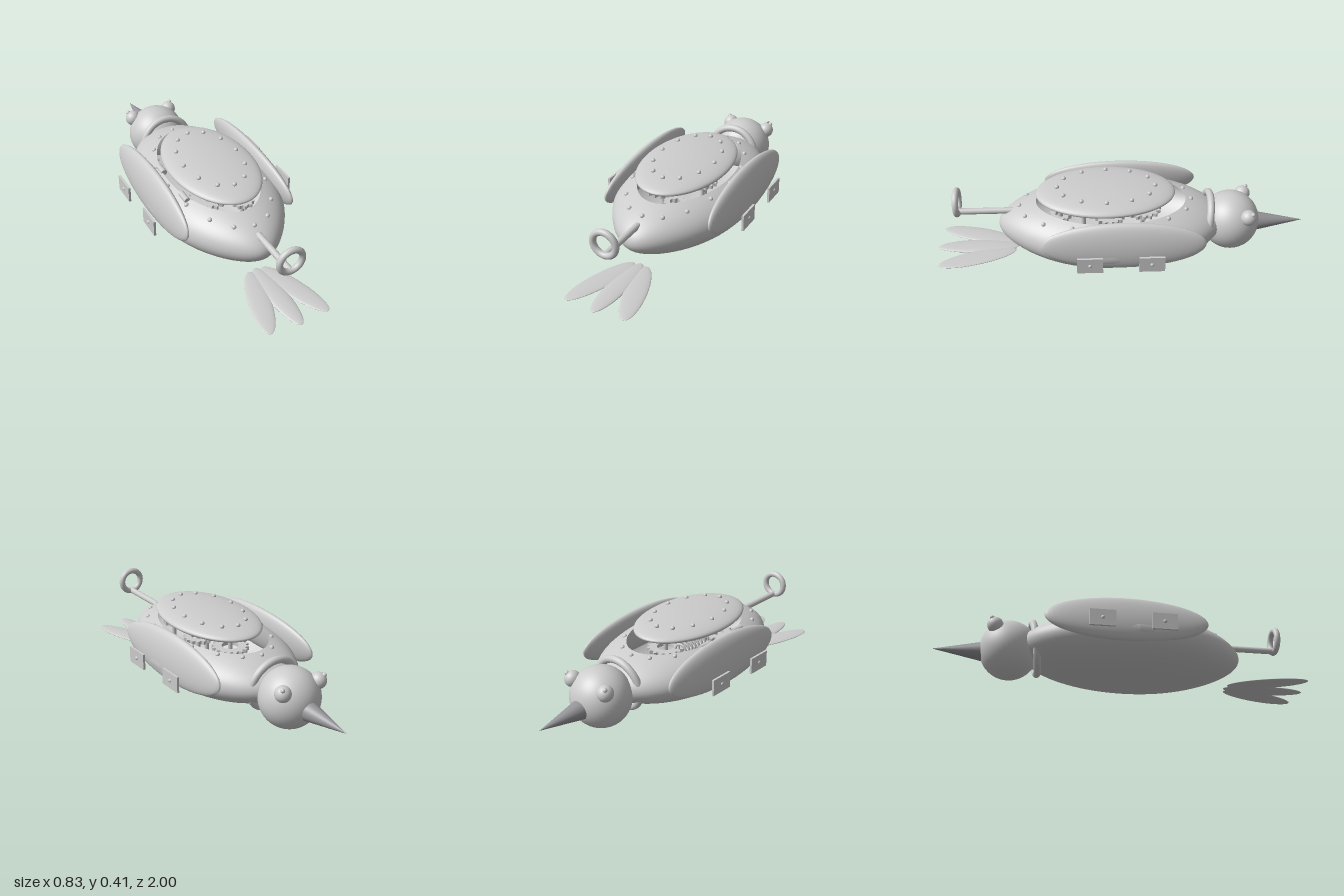
import * as THREE from 'three';

const metal = new THREE.MeshStandardMaterial({ color: 0xcccccc });
metal.name = 'pale metal';
const shellMetal = metal;
shellMetal.side = THREE.DoubleSide; // the body is an open shell
const beakMetal = new THREE.MeshStandardMaterial({ color: 0x96969a });
beakMetal.name = 'dark metal';

export function createModel() {
  const root = new THREE.Group();
  root.name = 'clockworkBird';

  const add = (name, geo, pos, mat = metal, parent = root) => {
    const m = new THREE.Mesh(geo, mat);
    m.name = name;
    m.position.set(...pos);
    parent.add(m);
    return m;
  };
  const ellipsoid = (rx, ry, rz, w = 40, h = 28) =>
    new THREE.SphereGeometry(1, w, h).scale(rx, ry, rz);

  // Body: egg-shaped shell, open at the top and narrowed toward the tail
  const C = { y: 0.18, z: 0.05 }, R = { x: 0.35, y: 0.18, z: 0.605 };
  const taper = (t) => 1 - 0.3 * Math.max(0, t) ** 3;
  const body = new THREE.SphereGeometry(1, 64, 40, 0, Math.PI * 2, Math.acos(0.75), Math.PI - Math.acos(0.75));
  const p = body.attributes.position;
  for (let i = 0; i < p.count; i++) {
    const t = p.getZ(i);
    p.setXYZ(i, p.getX(i) * R.x * taper(t), p.getY(i) * R.y, t * R.z);
  }
  body.computeVertexNormals();
  add('body', body, [0, C.y, C.z], shellMetal);

  // Rivets around the opening, seated on the shell
  const rivet = new THREE.SphereGeometry(0.012, 14, 10);
  for (let i = 0; i < 16; i++) {
    const a = (i / 16) * Math.PI * 2;
    const x = 0.25 * Math.sin(a), z = 0.08 - 0.46 * Math.cos(a);
    const t = (z - C.z) / R.z;
    const s = x / (R.x * taper(t));
    const y = C.y + R.y * Math.sqrt(Math.max(0, 1 - s * s - t * t));
    add('bodyRivet', rivet, [x, y, z]);
  }

  // Raised back cover with its own rivets and two hinges
  add('backCover', ellipsoid(0.23, 0.047, 0.37, 56), [0, 0.363, 0.078]);
  for (let i = 0; i < 12; i++) {
    const a = (i / 12) * Math.PI * 2;
    add('coverRivet', rivet, [0.155 * Math.sin(a), 0.4, 0.075 - 0.26 * Math.cos(a)]);
  }
  for (const z of [-0.06, 0.21])
    add('hinge', new THREE.CylinderGeometry(0.016, 0.016, 0.07, 20).rotateX(Math.PI / 2), [-0.22, 0.312, z]);

  // Clockwork inside the opening
  const gearGeometry = (r, teeth) => {
    const s = new THREE.Shape();
    for (let i = 0; i < teeth * 4; i++) {
      const a = (i / (teeth * 4)) * Math.PI * 2;
      const q = i % 4 < 2 ? r : r * 0.84;
      s[i ? 'lineTo' : 'moveTo'](q * Math.cos(a), q * Math.sin(a));
    }
    s.closePath();
    s.holes.push(new THREE.Path().absarc(0, 0, r * 0.45, 0, Math.PI * 2, true));
    return new THREE.ExtrudeGeometry(s, { depth: 0.02, bevelEnabled: false, curveSegments: 20 }).rotateX(-Math.PI / 2);
  };
  for (const [x, y, z, r, n] of [
    [0, 0.24, -0.12, 0.1, 16], [0.08, 0.25, 0.06, 0.08, 14], [-0.08, 0.24, 0.2, 0.1, 16], [0.06, 0.25, 0.32, 0.06, 10],
  ]) {
    add('gear', gearGeometry(r, n), [x, y, z]);
    add('gearAxle', new THREE.CylinderGeometry(0.012, 0.012, 0.24, 14), [x, 0.17, z]);
  }
  const coil = Array.from({ length: 97 }, (_, i) => {
    const a = (i / 12) * Math.PI * 2;
    return new THREE.Vector3(-0.1 + 0.03 * Math.cos(a), 0.27 + 0.03 * Math.sin(a), -0.12 + 0.0022 * i);
  });
  add('spring', new THREE.TubeGeometry(new THREE.CatmullRomCurve3(coil), 160, 0.006, 7), [0, 0, 0]);

  // Head, neck ring and beak
  add('head', ellipsoid(0.16, 0.16, 0.157), [0, 0.163, -0.6]);
  add('neckRing', new THREE.TorusGeometry(0.137, 0.02, 16, 56), [0, 0.182, -0.465]).rotation.x = -0.14;
  add('beak', new THREE.ConeGeometry(0.052, 0.26, 32).rotateX(-Math.PI / 2), [0, 0.147, -0.87], beakMetal);

  for (const s of [1, -1]) {
    // Eyes with small pupils
    add('eye', ellipsoid(0.042, 0.043, 0.043, 24, 18), [s * 0.115, 0.252, -0.678]);
    add('pupil', new THREE.SphereGeometry(0.012, 14, 10), [s * 0.134, 0.284, -0.697]);

    // Leaning wing
    add('wing', ellipsoid(0.043, 0.13, 0.425, 40, 32), [s * 0.303, 0.238, -0.008]).rotation.z = s * 0.14;

    // Square side plates with central knobs
    for (const z of [0.168, -0.147]) {
      add('sidePlate', new THREE.BoxGeometry(0.012, 0.088, 0.132), [s * 0.4, 0.19, z]);
      add('plateKnob', new THREE.SphereGeometry(0.011, 14, 10), [s * 0.402, 0.19, z]);
    }

    // Outer tail feather
    add('outerTailFeather', ellipsoid(0.058, 0.01, 0.215), [s * 0.1, 0.015, 0.778]).rotation.y = s * 0.3;
  }
  add('middleTailFeather', ellipsoid(0.055, 0.012, 0.22), [0, 0.014, 0.78]);

  // Wind-up key
  add('keyShaft', new THREE.CylinderGeometry(0.017, 0.017, 0.29, 20).rotateX(Math.PI / 2), [0, 0.255, 0.725]);
  add('keyRing', new THREE.TorusGeometry(0.063, 0.017, 16, 44), [0, 0.316, 0.87]);

  return root;
}
